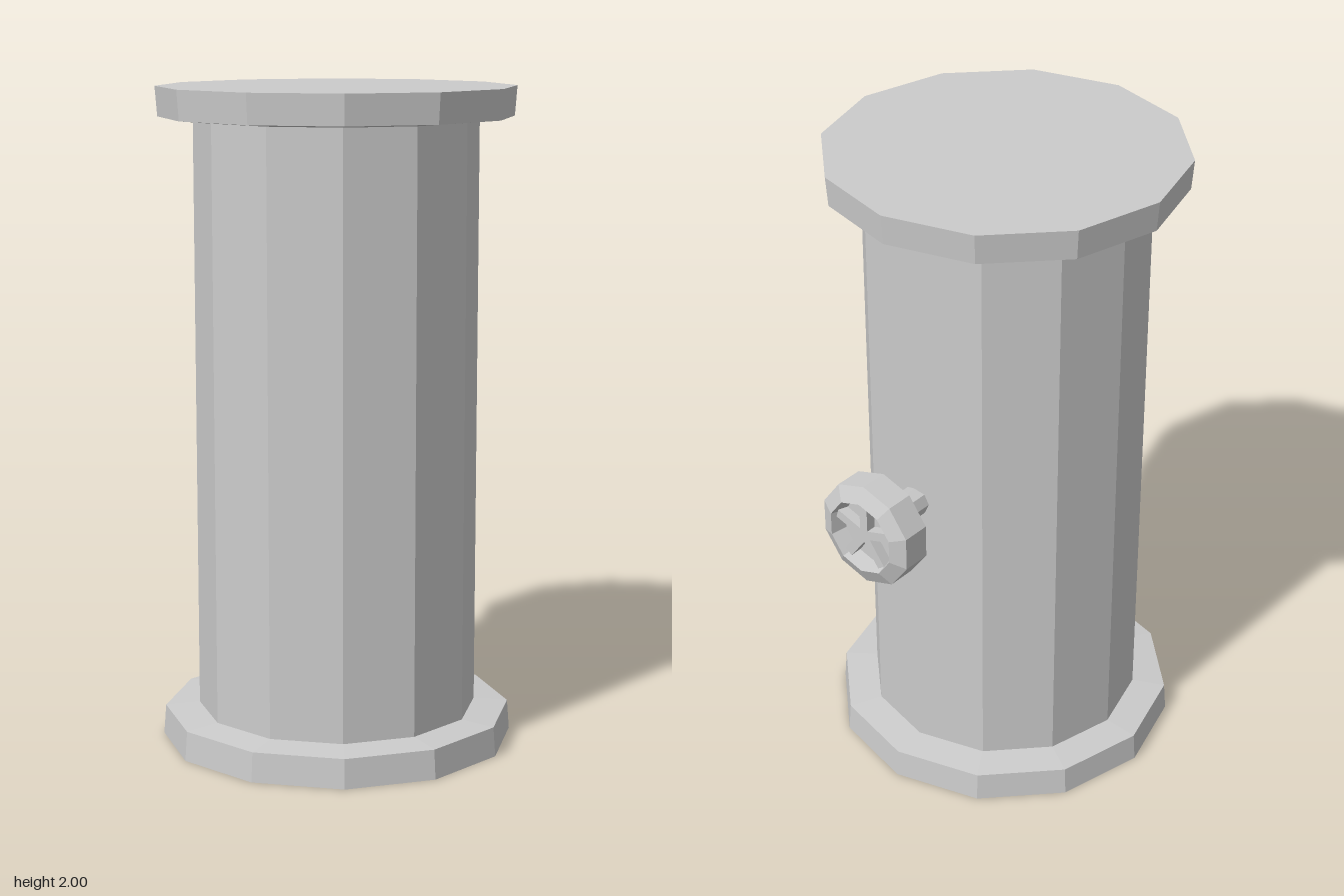
import * as THREE from 'three';

const material = new THREE.MeshStandardMaterial({ color: 0xcccccc, flatShading: true });

// Turned solid from [radius, height] pairs, listed from the bottom up the outside
function turned(name, profile, sides) {
  const points = profile.map(([r, y]) => new THREE.Vector2(r, y));
  const mesh = new THREE.Mesh(new THREE.LatheGeometry(points, sides), material);
  mesh.name = name;
  return mesh;
}

export function createModel() {
  const model = new THREE.Group();
  model.name = 'canister';

  // Twelve-sided drum between two flanged end caps
  const drum = new THREE.Group();
  drum.name = 'drum';
  drum.position.z = 0.065;
  drum.add(turned('body', [[0.428, 0.09], [0.428, 1.91]], 12));
  drum.add(turned('bottomCap', [[0, 0], [0.54, 0], [0.533, 0.09], [0.42, 0.1], [0, 0.1]], 12));
  drum.add(turned('topCap', [[0, 1.9], [0.42, 1.9], [0.533, 1.91], [0.54, 2], [0, 2]], 12));
  model.add(drum);

  // Hand wheel on the back; its local y axis points backwards
  const handWheel = new THREE.Group();
  handWheel.name = 'handWheel';
  handWheel.position.y = 1;
  handWheel.rotation.x = -Math.PI / 2;
  handWheel.add(turned('stem', [[0.046, 0.34], [0.046, 0.51]], 8));
  handWheel.add(turned('wheelRim', [
    [0, 0.495], [0.167, 0.495], [0.167, 0.582], [0.118, 0.605], [0.105, 0.555], [0, 0.555],
  ], 10));

  // Spokes inside the recessed face
  for (let i = 0; i < 5; i++) {
    const spoke = new THREE.Mesh(new THREE.BoxGeometry(0.028, 0.035, 0.108), material);
    spoke.name = 'spoke';
    const angle = (i / 5) * Math.PI * 2;
    spoke.position.set(Math.sin(angle) * 0.054, 0.57, Math.cos(angle) * 0.054);
    spoke.rotation.y = angle;
    handWheel.add(spoke);
  }
  model.add(handWheel);

  return model;
}
